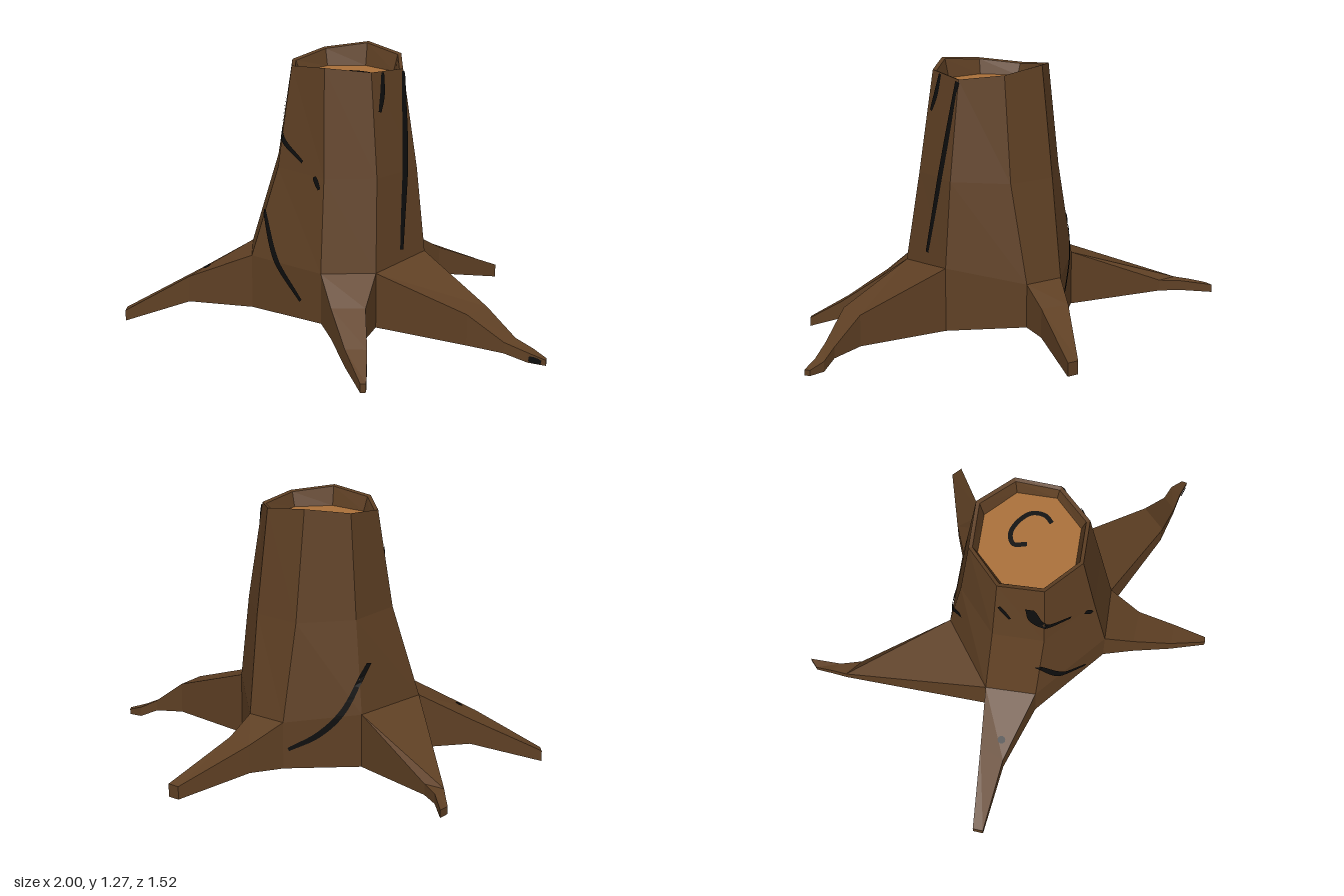
import * as THREE from 'three';

const bark = new THREE.MeshStandardMaterial({ color: 0x5f4024, flatShading: true });
bark.name = 'bark brown';
const wood = new THREE.MeshStandardMaterial({ color: 0xab713a, flatShading: true });
wood.name = 'cut wood tan';
const crackBlack = new THREE.MeshStandardMaterial({ color: 0x0d0d0d, side: THREE.DoubleSide });
crackBlack.name = 'crack black';

function geometryFrom(tris) {
  const g = new THREE.BufferGeometry();
  g.setAttribute('position', new THREE.Float32BufferAttribute(tris.flat(), 3));
  g.computeVertexNormals();
  return g;
}

// Skin a list of equal-length rings, with optional end caps
function loft(rings, capStart, capEnd) {
  const tris = [];
  const n = rings[0].length;
  for (let i = 0; i + 1 < rings.length; i++) {
    for (let k = 0; k < n; k++) {
      const m = (k + 1) % n;
      const [a, b, c, d] = [rings[i][k], rings[i][m], rings[i + 1][k], rings[i + 1][m]];
      tris.push(a, c, d, a, d, b);
    }
  }
  const first = rings[0], last = rings[rings.length - 1];
  for (let k = 1; k < n - 1; k++) {
    if (capStart) tris.push(first[0], first[k], first[k + 1]);
    if (capEnd) tris.push(last[0], last[k + 1], last[k]);
  }
  return geometryFrom(tris);
}

export function createModel() {
  const group = new THREE.Group();
  const add = (name, geometry, material) => {
    const mesh = new THREE.Mesh(geometry, material);
    mesh.name = name;
    group.add(mesh);
    return mesh;
  };

  // Trunk cross-sections, eight corners each, from +x round towards +z
  const collar = [[0.35, 0.4, 0], [0.23, 0.37, 0.29], [0.01, 0.37, 0.385], [-0.38, 0.365, 0.25],
    [-0.47, 0.365, 0.04], [-0.28, 0.365, -0.27], [0.04, 0.345, -0.4], [0.21, 0.345, -0.33]];
  const baseY = [0.115, 0.12, 0.14, 0.12, 0.11, 0.12, 0.13, 0.15];
  const base = collar.map(([x, , z], k) => [x, baseY[k], z]);
  const waist = [[0.31, 0], [0.21, 0.23], [0, 0.32], [-0.26, 0.22],
    [-0.35, 0.01], [-0.24, -0.22], [0, -0.33], [0.2, -0.24]].map(([x, z]) => [x, 0.78, z]);
  const rimY = [1.22, 1.235, 1.255, 1.235, 1.22, 1.245, 1.27, 1.245];
  const octagon = (r, yAt) => rimY.map((y, k) => {
    const a = (k * Math.PI) / 4;
    return [-0.02 + r * Math.cos(a), yAt(y), r * Math.sin(a)];
  });
  const cutY = 1.165;
  const rim = octagon(0.262, (y) => y);
  const rimInner = octagon(0.245, (y) => y - 0.005);
  const cut = octagon(0.225, () => cutY);
  const solids = [add('trunk', loft([base, collar, waist, rim, rimInner, cut], true, false), bark)];

  // Sunken cut face
  add('cutFace', loft([cut], false, true), wood);

  // Roots: collar corner on the right, then sections [right x, z, left x, z, top, bottom]
  const roots = [
    ['rightRoot', 4, [[-0.69, 0.145, -0.69, 0.265, 0.23, 0.11], [-1, 0.29, -0.985, 0.335, 0.05, 0]]],
    ['backRightRoot', 5, [[-0.62, -0.55, -0.71, -0.58, 0.19, 0.14],
      [-0.68, -0.63, -0.73, -0.65, 0.185, 0.14], [-0.73, -0.765, -0.752, -0.72, 0.175, 0.14]]],
    ['backLeftRoot', 7, [[0.27, -0.44, 0.16, -0.51, 0.27, 0.14], [0.47, -0.69, 0.42, -0.71, 0.13, 0.07]]],
    ['leftRoot', 1, [[0.66, 0.325, 0.71, 0.2, 0.25, 0.11], [0.82, 0.305, 0.85, 0.235, 0.14, 0.09],
      [0.92, 0.285, 0.93, 0.23, 0.1, 0.055], [1, 0.28, 0.995, 0.255, 0.075, 0.05]]],
    ['frontRoot', 2, [[0.1, 0.49, 0.24, 0.44, 0.26, 0.12], [0.22, 0.63, 0.31, 0.6, 0.14, 0.06],
      [0.34, 0.757, 0.362, 0.745, 0.05, 0.01]]],
  ];
  for (const [name, r, sections] of roots) {
    const rings = [[collar[r], collar[r - 1], base[r - 1], base[r]]];
    for (const [rx, rz, lx, lz, top, bottom] of sections) {
      rings.push([[rx, top, rz], [lx, top, lz], [lx, bottom, lz], [rx, bottom, rz]]);
    }
    solids.push(add(name, loft(rings, false, true), bark));
  }

  // Cracks: tapered ribbons laid on the bark, drawn in a plane and projected along dir
  const caster = new THREE.Raycaster();
  function crack(name, dir, points, width) {
    const d = new THREE.Vector3(...dir).normalize();
    const side = new THREE.Vector3(0, 1, 0).cross(d);
    const curve = new THREE.CatmullRomCurve3(points.map(([u, y]) => new THREE.Vector3(u, y, 0)));
    const project = (p) => {
      const origin = side.clone().multiplyScalar(p.x).addScaledVector(d, 3);
      origin.y = p.y;
      caster.set(origin, d.clone().negate());
      const hit = caster.intersectObjects(solids)[0];
      return hit ? hit.point.addScaledVector(hit.face.normal, 0.005).toArray() : null;
    };
    const tris = [];
    let previous = null;
    const steps = 28;
    for (let i = 0; i <= steps; i++) {
      const p = curve.getPoint(i / steps), t = curve.getTangent(i / steps);
      const half = (width / 2) * (0.6 + 0.4 * Math.sin((Math.PI * i) / steps));
      const off = new THREE.Vector3(-t.y, t.x, 0).multiplyScalar(half);
      const pair = [project(p.clone().add(off)), project(p.clone().sub(off))];
      const valid = pair[0] && pair[1];
      if (valid && previous) tris.push(previous[0], previous[1], pair[1], previous[0], pair[1], pair[0]);
      previous = valid ? pair : null;
    }
    if (tris.length) add(name, geometryFrom(tris), crackBlack);
  }
  const front = [0, 0, 1], left = [1, 0, 0], back = [0, 0, -1], right = [-1, 0, 0];
  crack('longSideCrack', left, [[-0.005, 1.21], [-0.06, 0.85], [-0.135, 0.44]], 0.032);
  crack('shortSideCrack', left, [[-0.125, 1.225], [-0.145, 1.13], [-0.17, 1.06]], 0.026);
  crack('frontLowerCrack', front, [[-0.32, 0.58], [-0.24, 0.38], [-0.1, 0.22]], 0.028);
  crack('frontUpperCrack', front, [[-0.25, 1.06], [-0.24, 0.92], [-0.12, 0.83]], 0.025);
  crack('frontNick', front, [[-0.05, 0.78], [-0.02, 0.73]], 0.025);
  crack('backCrack', back, [[0.29, 0.58], [0.2, 0.38], [0.1, 0.28], [-0.02, 0.22]], 0.028);
  crack('rightSideNick', right, [[0.02, 1.05], [0.07, 0.95]], 0.018);

  // Growth ring on the cut face
  const ring = new THREE.CatmullRomCurve3([[-0.04, 0], [-0.07, -0.05], [-0.035, -0.085], [0.03, -0.085],
    [0.09, -0.055], [0.11, 0], [0.095, 0.04]].map(([x, z]) => new THREE.Vector3(x, cutY + 0.004, z)));
  const strip = [];
  let last = null;
  for (let i = 0; i <= 30; i++) {
    const p = ring.getPoint(i / 30), t = ring.getTangent(i / 30);
    const off = new THREE.Vector3(-t.z, 0, t.x).multiplyScalar(0.01);
    const pair = [p.clone().sub(off).toArray(), p.clone().add(off).toArray()];
    if (last) strip.push(last[0], last[1], pair[1], last[0], pair[1], pair[0]);
    last = pair;
  }
  add('growthRing', geometryFrom(strip), crackBlack);

  // Knot on the right root, projected straight down
  caster.set(new THREE.Vector3(-0.62, 2, 0.215), new THREE.Vector3(0, -1, 0));
  const hit = caster.intersectObjects(solids)[0];
  if (hit) {
    const knot = add('rootKnot', new THREE.CircleGeometry(0.018, 10), crackBlack);
    knot.position.copy(hit.point).addScaledVector(hit.face.normal, 0.004);
    knot.quaternion.setFromUnitVectors(new THREE.Vector3(0, 0, 1), hit.face.normal);
  }

  // Dark mark near the tip of the left root
  crack('rootTipMark', front, [[0.925, 0.075], [0.98, 0.065]], 0.028);

  return group;
}
